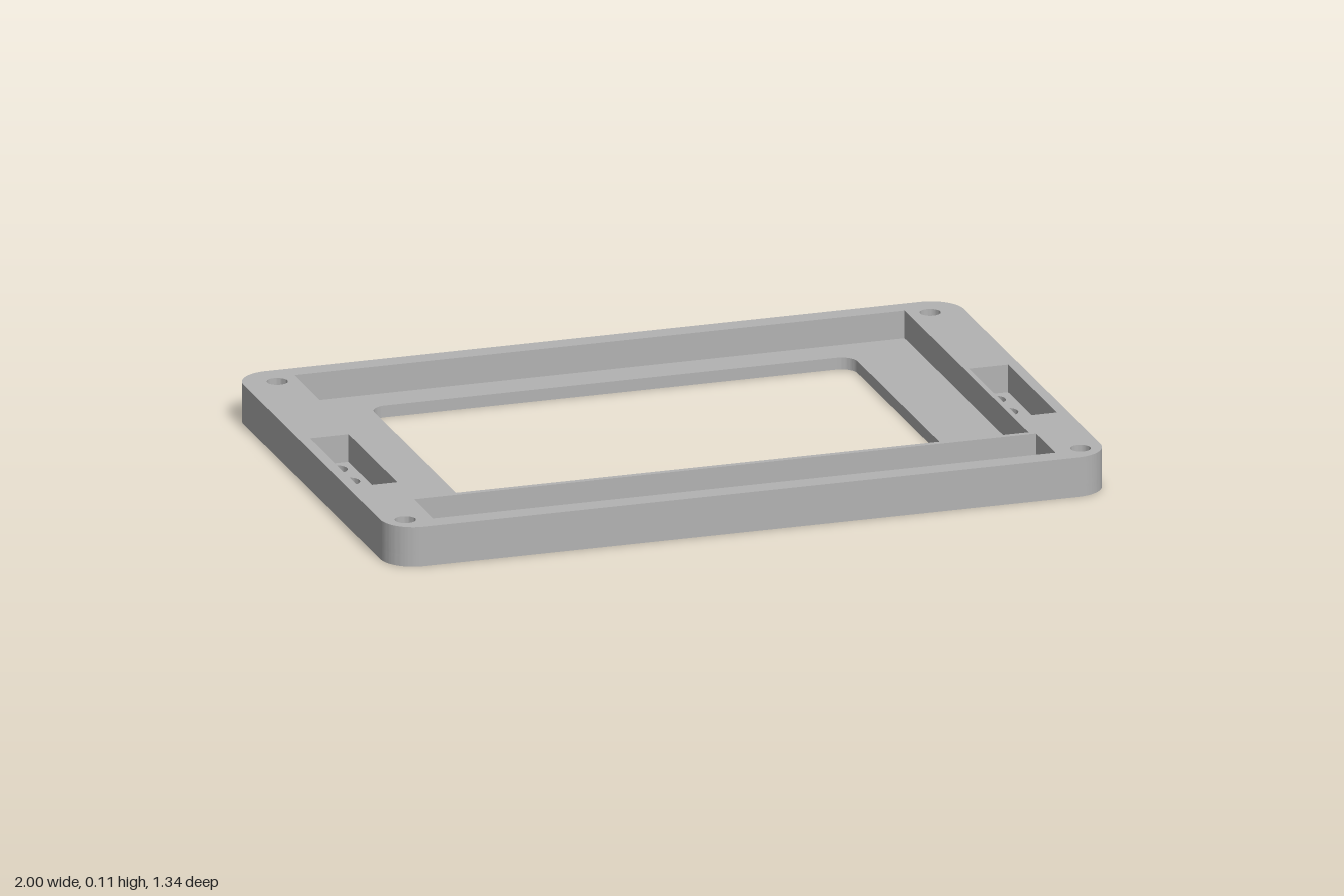
import * as THREE from 'three';
import { toCreasedNormals } from 'three/addons/utils/BufferGeometryUtils.js';

const HEIGHT = 0.11, FLOOR = 0.033;

// Rounded rectangle outline in plan (x, z); r = 0 gives square corners
function rect(path, x0, x1, z0, z1, r = 0) {
  const b = -z1, t = -z0, q = Math.PI / 2;
  if (r === 0) {
    path.moveTo(x0, b).lineTo(x1, b).lineTo(x1, t).lineTo(x0, t);
  } else {
    path.moveTo(x0 + r, b).lineTo(x1 - r, b);
    path.absarc(x1 - r, b + r, r, -q, 0);
    path.absarc(x1 - r, t - r, r, 0, q);
    path.absarc(x0 + r, t - r, r, q, 2 * q);
    path.absarc(x0 + r, b + r, r, 2 * q, 3 * q);
  }
  path.closePath();
  return path;
}

function hole(x, z, r) {
  return new THREE.Path().absarc(x, -z, r, 0, Math.PI * 2, true);
}

// Outer outline with four screw holes, shared by both layers
function outline() {
  const s = rect(new THREE.Shape(), -1, 1, -0.67, 0.67, 0.09);
  for (const side of [-1, 1]) {
    s.holes.push(hole(side * 0.907, -0.58, 0.028), hole(side * 0.938, 0.6, 0.028));
  }
  return s;
}

function layer(name, shape, y0, y1, material) {
  let geo = new THREE.ExtrudeGeometry(shape, { depth: y1 - y0, bevelEnabled: false, curveSegments: 16 });
  geo.rotateX(-Math.PI / 2);
  geo = toCreasedNormals(geo, 0.6);
  const mesh = new THREE.Mesh(geo, material);
  mesh.position.y = y0;
  mesh.name = name;
  return mesh;
}

export function createModel() {
  const grey = new THREE.MeshStandardMaterial({ color: 0xb3b3b3 });
  grey.name = 'grey plastic';
  const group = new THREE.Group();
  group.name = 'bezelFrame';

  // Thin face plate with the window and rows of round holes
  const plate = outline();
  plate.holes.push(rect(new THREE.Path(), -0.671, 0.671, -0.519, 0.405, 0.045));
  for (let i = 0; i < 16; i++) plate.holes.push(hole(-0.788 + i * 0.105, 0.505, 0.033));
  for (const side of [-1, 1]) {
    for (let i = 0; i < 4; i++) plate.holes.push(hole(side * 0.914, -0.064 + i * 0.105, 0.033));
  }
  group.add(layer('facePlate', plate, 0, FLOOR, grey));

  // Raised walls around the screen pocket, front strip pocket and side pockets
  const walls = outline();
  walls.holes.push(
    rect(new THREE.Path(), -0.848, 0.848, -0.615, 0.433),
    rect(new THREE.Path(), -0.864, 0.864, 0.449, 0.614),
    rect(new THREE.Path(), -0.97, -0.862, -0.11, 0.302),
    rect(new THREE.Path(), 0.862, 0.97, -0.11, 0.302)
  );
  group.add(layer('pocketWalls', walls, FLOOR, HEIGHT, grey));

  return group;
}
